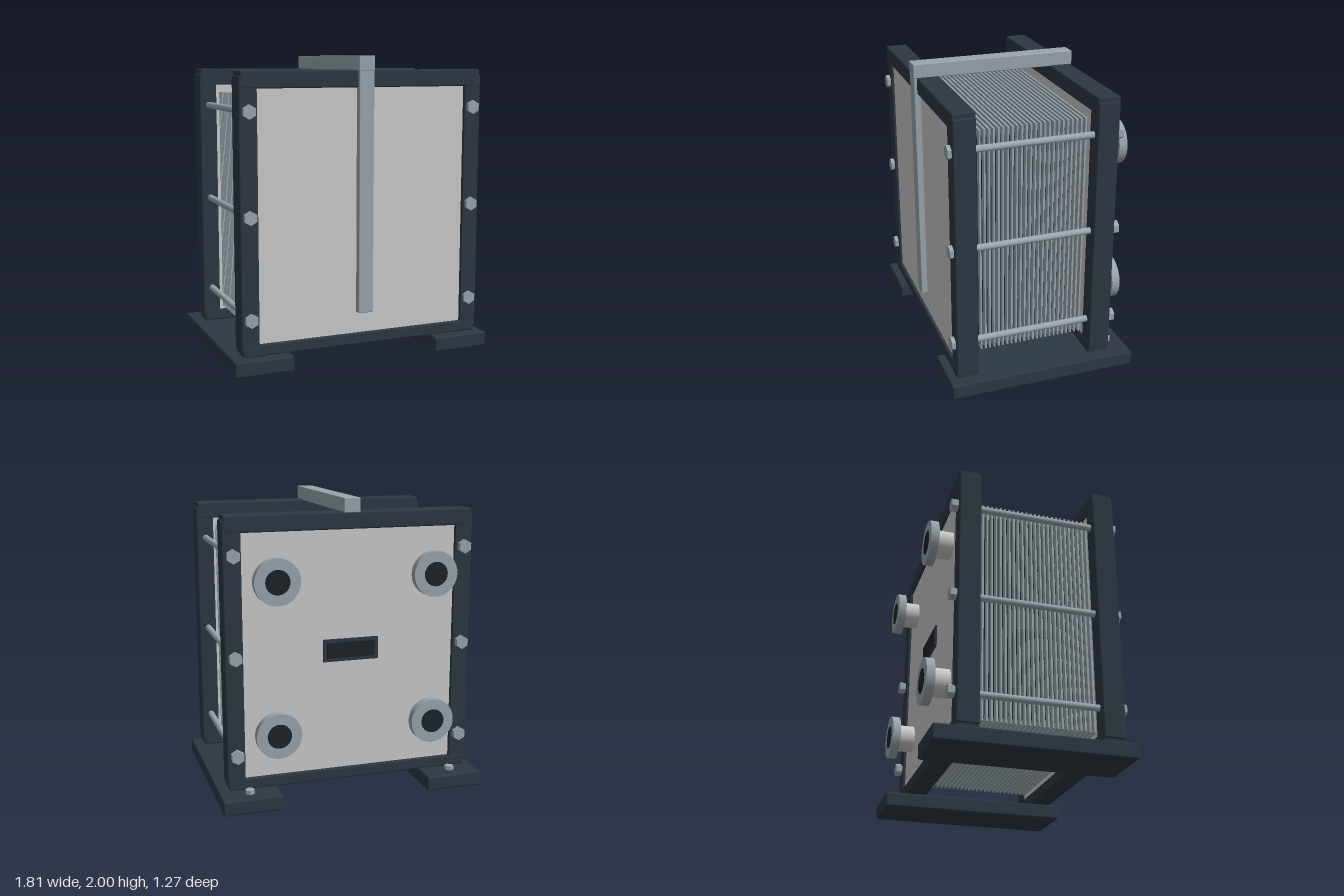
import * as THREE from 'three';
import { RoundedBoxGeometry } from 'three/addons/geometries/RoundedBoxGeometry.js';

const mat = (color, flatShading = false) => {
  const m = new THREE.MeshStandardMaterial({ flatShading });
  m.color.set(color);
  return m;
};

export function createModel() {
  const root = new THREE.Group();
  const navy = mat(0x2d3842), rubber = mat(0x1b2328), panelGrey = mat(0xc9cac8);
  const steel = mat(0x9aa6ad), hexSteel = mat(0x9aa6ad, true), pipeSteel = mat(0xd0d2d2);

  const add = (name, geometry, material, x = 0, y = 0, z = 0, parent = root) => {
    const mesh = new THREE.Mesh(geometry, material);
    mesh.name = name;
    mesh.position.set(x, y, z);
    parent.add(mesh);
    return mesh;
  };
  // Box given by its min and max on each axis, with optionally softened edges
  const box = (name, [x0, x1], [y0, y1], [z0, z1], material, r = 0, parent = root) => {
    const s = [x1 - x0, y1 - y0, z1 - z0];
    const g = r ? new RoundedBoxGeometry(...s, 2, r) : new THREE.BoxGeometry(...s);
    return add(name, g, material, (x0 + x1) / 2, (y0 + y1) / 2, (z0 + z1) / 2, parent);
  };
  // Cylinder lying along z
  const rod = (name, r, z0, z1, x, y, material, sides = 24, parent = root) => {
    const g = new THREE.CylinderGeometry(r, r, z1 - z0, sides).rotateX(Math.PI / 2);
    return add(name, g, material, x, y, (z0 + z1) / 2, parent);
  };

  // Two end frames, each with posts, rails and a recessed cover panel
  const frames = [
    { name: 'frontFrame', z: [0.44, 0.585], panel: [0.45, 0.565] },
    { name: 'backFrame', z: [-0.485, -0.34], panel: [-0.465, -0.35] },
  ];
  for (const f of frames) {
    const g = new THREE.Group();
    g.name = f.name;
    root.add(g);
    const railZ = [f.z[0] - 0.002, f.z[1] + 0.002];
    box('topRail', [-0.835, 0.835], [1.8, 1.91], railZ, navy, 0.01, g);
    box('bottomRail', [-0.835, 0.835], [0.11, 0.185], railZ, navy, 0.01, g);
    box('leftPost', [0.725, 0.845], [0.14, 1.877], f.z, navy, 0.01, g);
    box('rightPost', [-0.845, -0.725], [0.14, 1.877], f.z, navy, 0.01, g);
    box('coverPanel', [-0.73, 0.73], [0.18, 1.805], f.panel, panelGrey, 0, g);
  }

  // Plate pack with the gasket core between the plates
  const pack = new THREE.Group();
  pack.name = 'platePack';
  root.add(pack);
  const plateGeo = new THREE.BoxGeometry(1.42, 1.535, 0.012);
  const count = 26;
  for (let i = 0; i < count; i++) {
    add('plate', plateGeo, steel, 0, 0.983, 0.437 - i * 0.757 / (count - 1), pack);
  }
  box('gasketCore', [-0.67, 0.67], [0.26, 1.7], [-0.322, 0.438], rubber, 0.02, pack);

  // Carrying bar over the top and guide strip down the front
  box('carryingBar', [-0.055, 0.055], [1.905, 2], [-0.495, 0.61], steel, 0.006);
  box('frontGuide', [-0.052, 0.052], [0.325, 1.908], [0.555, 0.608], steel, 0.006);

  for (const side of [-1, 1]) {
    // Tie rods with hexagonal heads and nuts
    for (const y of [0.35, 1.005, 1.66]) {
      const x = side * 0.782;
      rod('tieRod', 0.022, -0.5, 0.59, x, y, steel);
      rod('boltHead', 0.046, 0.58, 0.61, x, y, hexSteel, 6);
      rod('nutWasher', 0.036, -0.5, -0.48, x, y, steel);
      rod('nut', 0.046, -0.53, -0.492, x, y, hexSteel, 6);
    }

    // Foot with pads and anchor bolts
    const footX = side > 0 ? [0.51, 0.905] : [-0.905, -0.51];
    box('foot', footX, [0, 0.1], [-0.635, 0.635], navy, 0.012);
    for (const z of [-0.53, 0.53]) {
      add('anchorBolt', new THREE.CylinderGeometry(0.032, 0.032, 0.03, 6), hexSteel, side * 0.71, 0.112, z);
    }
    for (const f of frames) {
      box('footPad', [side * 0.71 - 0.03, side * 0.71 + 0.03], [0.095, 0.125],
        [f.z[0] + 0.02, f.z[1] - 0.02], navy);
    }

    // Flanged pipe connections on the back
    for (const y of [0.505, 1.505]) {
      const nozzle = new THREE.Group();
      nozzle.name = 'nozzle';
      root.add(nozzle);
      rod('pipe', 0.093, -0.58, -0.46, side * 0.53, y, pipeSteel, 40, nozzle);
      rod('flange', 0.15, -0.631, -0.576, side * 0.53, y, steel, 40, nozzle);
      rod('bore', 0.08, -0.634, -0.6, side * 0.53, y, rubber, 32, nozzle);
    }
  }

  // Blank data plate in the middle of the back panel
  box('dataPlateFrame', [-0.19, 0.19], [0.93, 1.08], [-0.478, -0.46], navy);
  box('dataPlate', [-0.165, 0.165], [0.953, 1.057], [-0.482, -0.47], rubber);

  return root;
}
